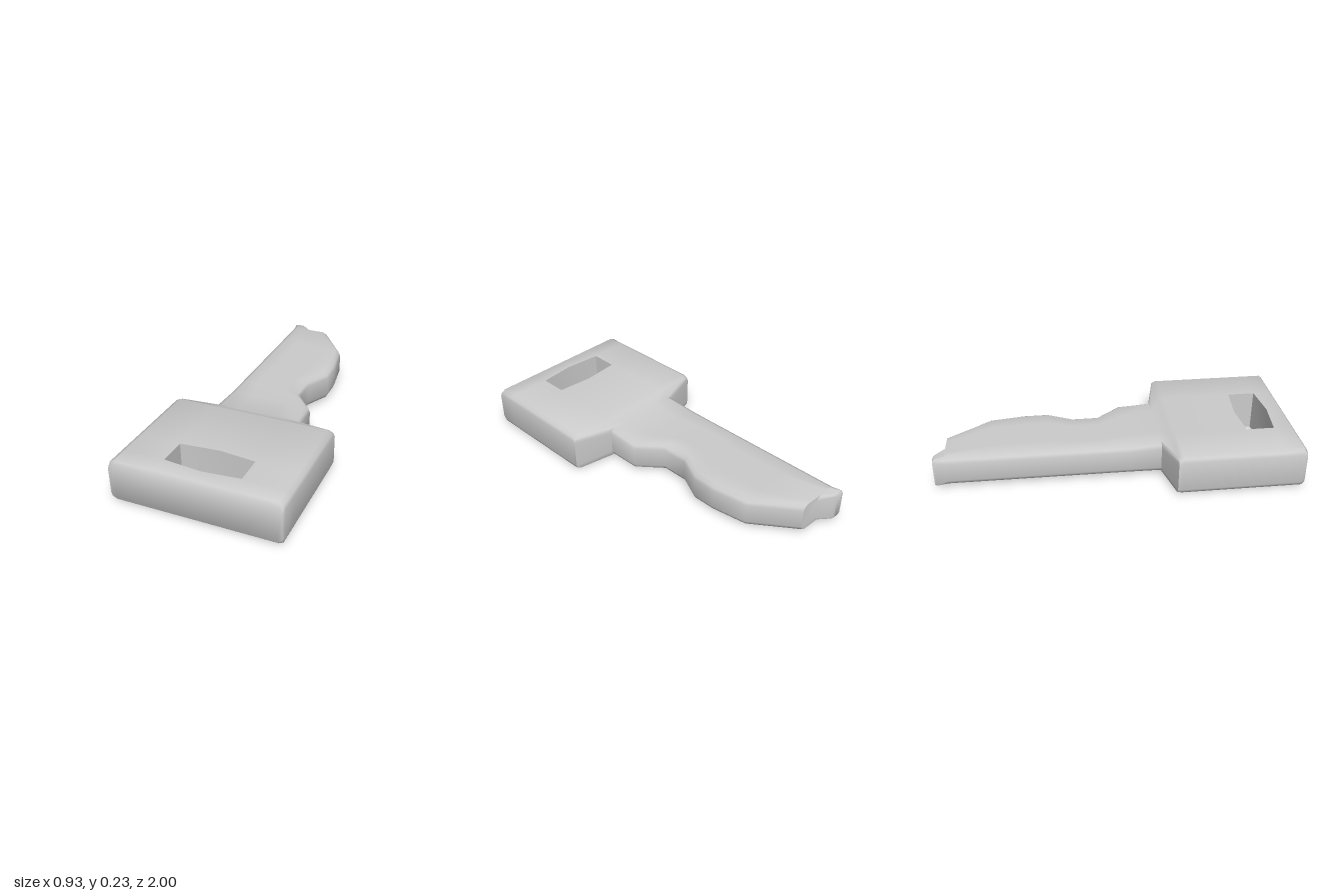
import * as THREE from 'three';
import { toCreasedNormals } from 'three/addons/utils/BufferGeometryUtils.js';

// Cross-sections from blade tip to bow end: z, left x, right x, bottom y, top y
const STATIONS = [
  [-1, -0.255, -0.2, 0.025, 0.175],
  [-0.99, -0.255, -0.188, 0.015, 0.185],
  [-0.938, -0.255, -0.115, 0.015, 0.185],
  [-0.933, -0.255, -0.005, 0.015, 0.187],
  [-0.695, -0.255, 0.165, 0.015, 0.187],
  [-0.5, -0.255, 0.195, 0.015, 0.187],
  [-0.365, -0.255, 0.195, 0.015, 0.187],
  [-0.225, -0.255, 0.125, 0.015, 0.187],
  [-0.075, -0.255, 0.125, 0.015, 0.187],
  [0.06, -0.255, 0.238, 0.015, 0.188],
  [0.245, -0.255, 0.238, 0.013, 0.2],
  [0.3, -0.465, 0.465, 0.004, 0.222],
  [0.325, -0.465, 0.465, 0, 0.234],
  [0.73, -0.465, 0.465, 0, 0.234],
  [0.885, -0.465, 0.465, 0, 0.234],
  [0.985, -0.465, 0.465, 0, 0.234],
  [1, -0.463, 0.463, 0.014, 0.22],
];
const HOLE = 13; // the slot lies between this station and the next
const CORNER = [[0, 1], [0.23, 0.4], [1, 0]]; // rounded edge: inset, drop
const COLUMNS = [0.274, 0.5, 0.72]; // slot columns as fractions of the width
const N = 18;

// Closed ring: top edge left to right, then bottom edge right to left
function ring([z, xl, xr, y0, y1], i) {
  const w = xr - xl, b = Math.min(0.032, w * 0.2);
  const bow = i === HOLE ? -0.02 : i === HOLE + 1 ? 0.02 : 0;
  const across = [
    ...CORNER.map(([dx, dy]) => [xl + dx * b, dy * b, z]),
    ...COLUMNS.map((f, c) => [xl + f * w, 0, c === 1 ? z + bow : z]),
    ...CORNER.map(([dx, dy]) => [xr - dx * b, dy * b, z]).reverse(),
  ];
  return [
    ...across.map(([x, d, pz]) => [x, y1 - d, pz]),
    ...across.map(([x, d, pz]) => [x, y0 + d, pz]).reverse(),
  ];
}

function keyGeometry() {
  const rings = STATIONS.map(ring);
  const pos = [];
  const quad = (a, b, c, d) => pos.push(...a, ...b, ...c, ...a, ...c, ...d);

  // Skin, left open at the slot
  for (let i = 0; i < rings.length - 1; i++) {
    const r = rings[i], s = rings[i + 1];
    for (let k = 0; k < N; k++) {
      if (i === HOLE && [3, 4, 12, 13].includes(k)) continue;
      const n = (k + 1) % N;
      quad(r[k], s[k], s[n], r[n]);
    }
  }

  // End faces
  const tip = rings[0], end = rings[rings.length - 1];
  for (let k = 0; k < 8; k++) {
    quad(tip[k], tip[k + 1], tip[16 - k], tip[17 - k]);
    quad(end[17 - k], end[16 - k], end[k + 1], end[k]);
  }

  // Slot walls
  const a = rings[HOLE], b = rings[HOLE + 1];
  const loop = [[a, 3], [a, 4], [a, 5], [b, 5], [b, 4], [b, 3]];
  loop.forEach(([r, k], j) => {
    const [s, n] = loop[(j + 1) % loop.length];
    quad(r[k], r[17 - k], s[17 - n], s[n]);
  });

  const geo = new THREE.BufferGeometry();
  geo.setAttribute('position', new THREE.Float32BufferAttribute(pos, 3));
  return toCreasedNormals(geo, 0.85);
}

export function createModel() {
  const group = new THREE.Group();
  group.name = 'key';
  const body = new THREE.Mesh(keyGeometry(), new THREE.MeshStandardMaterial({ color: 0xcccccc }));
  body.name = 'keyBody';
  group.add(body);
  return group;
}
